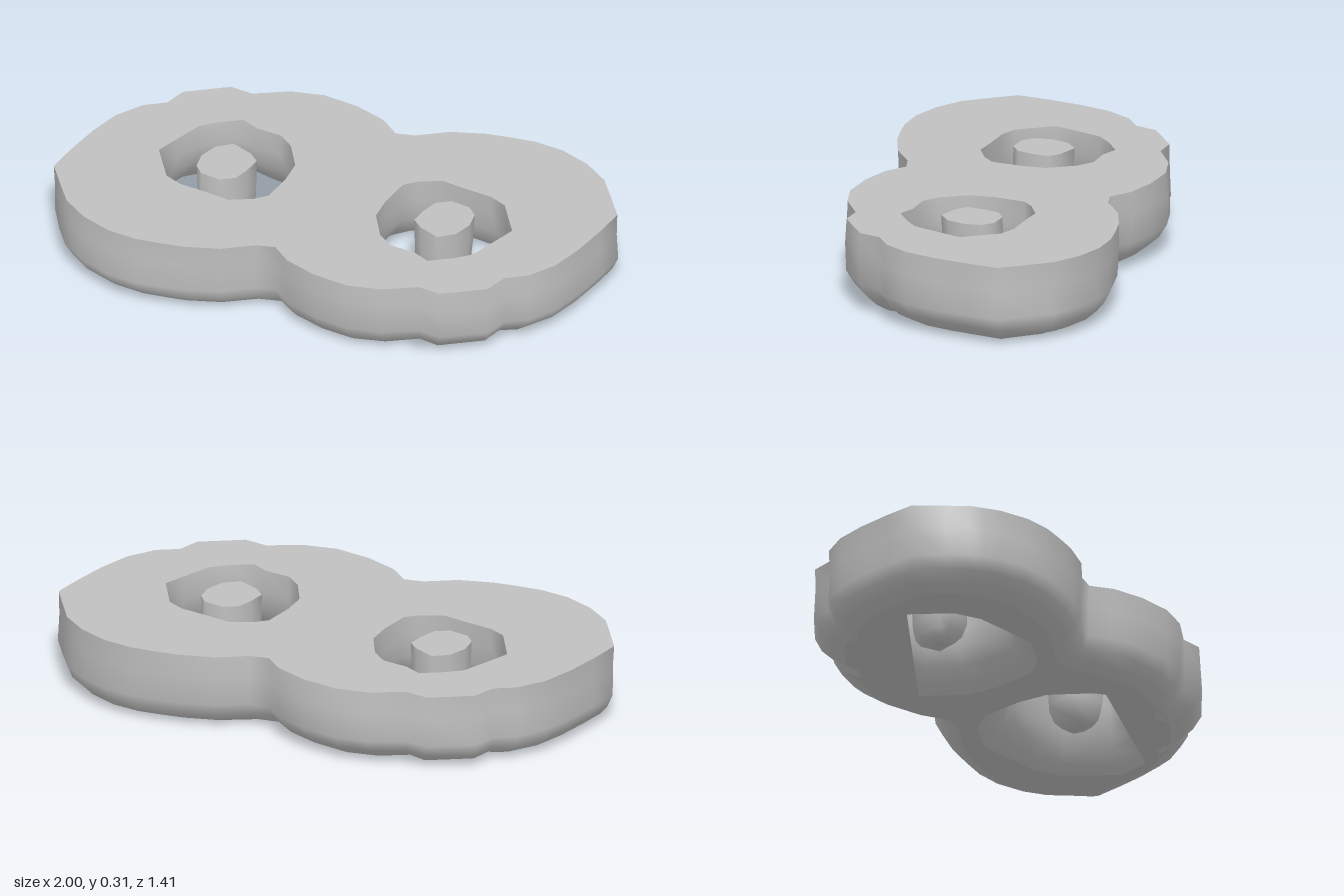
import * as THREE from 'three';

const HEIGHT = 0.31;

// Plan contours as [x, z]; the other half of the model is a half-turn copy
const HALF_OUTLINE = [
  [-1, -0.33], [-0.92, -0.42], [-0.82, -0.52], [-0.72, -0.6], [-0.61, -0.645], [-0.52, -0.645],
  [-0.45, -0.7], [-0.27, -0.7], [-0.2, -0.645], [-0.06, -0.635], [0.06, -0.59], [0.17, -0.5],
  [0.25, -0.4], [0.28, -0.31], [0.35, -0.285], [0.48, -0.285], [0.61, -0.25], [0.7, -0.21],
  [0.78, -0.17], [0.87, -0.1], [0.945, 0], [0.97, 0.06], [0.99, 0.11], [0.995, 0.2],
];
const HOLE = [
  [-0.6, -0.36], [-0.53, -0.41], [-0.43, -0.48], [-0.36, -0.49], [-0.26, -0.49], [-0.22, -0.43],
  [-0.14, -0.37], [-0.115, -0.3], [-0.12, -0.18], [-0.17, -0.1], [-0.25, -0.01], [-0.31, 0],
  [-0.4, -0.01], [-0.47, -0.07], [-0.56, -0.14], [-0.6, -0.2],
];
const POST = [
  [-0.48, -0.24], [-0.45, -0.3], [-0.39, -0.345], [-0.32, -0.35], [-0.27, -0.28],
  [-0.255, -0.23], [-0.3, -0.18], [-0.35, -0.14], [-0.41, -0.14], [-0.47, -0.19],
];

// Section profiles as [height, inset into the solid]
const OUTER_PROFILE = [[HEIGHT, 0], [0.22, 0], [0.11, 0], [0.06, 0.025], [0.025, 0.06], [0, 0.11]];
const HOLE_PROFILE = [[HEIGHT, 0], [0.22, 0], [0.14, 0.015], [0.08, 0.045], [0.03, 0.085], [0, 0.12]];
const POST_PROFILE = [[HEIGHT, 0], [0.2, 0], [0.12, 0.008], [0.07, 0.025], [0.04, 0.05], [0.03, 0.075]];

const halfTurn = (pts) => pts.map(([x, z]) => [-x, -z]);

// Small repeatable unevenness for the worn walls
const wobble = (i, r) => 0.006 * Math.sin(i * 12.9 + r * 7.3);

// Shrink a contour along its smoothed normals
function inset(pts, amount, span) {
  const n = pts.length;
  return pts.map(([x, z], i) => {
    const a = pts[(i - span + n) % n], b = pts[(i + span) % n];
    const dx = b[0] - a[0], dz = b[1] - a[1], len = Math.hypot(dx, dz);
    const d = typeof amount === 'function' ? amount(i) : amount;
    return [x - (dz / len) * d, z + (dx / len) * d];
  });
}

// Wall swept down a profile, returning its geometry and lowest contour
function wall(pts, profile, span) {
  const n = pts.length, last = profile.length - 1;
  const positions = [], index = [];
  let bottom = pts;
  profile.forEach(([y, d], r) => {
    const uneven = r > 0 && r < last;
    bottom = inset(pts, (i) => d + (uneven ? wobble(i, r) : 0), span);
    bottom.forEach(([x, z]) => positions.push(x, y, z));
    if (r === last) return;
    for (let i = 0; i < n; i++) {
      const a = r * n + i, b = r * n + (i + 1) % n;
      index.push(a, b, a + n, b, b + n, a + n);
    }
  });
  const geometry = new THREE.BufferGeometry();
  geometry.setAttribute('position', new THREE.Float32BufferAttribute(positions, 3));
  geometry.setIndex(index);
  geometry.computeVertexNormals();
  return { geometry, bottom };
}

// Flat horizontal face with optional holes, facing up (1) or down (-1)
function cap(pts, holes, y, facing) {
  const to2D = (list) => list.map(([x, z]) => new THREE.Vector2(x, -facing * z));
  const shape = new THREE.Shape(to2D(pts));
  holes.forEach((h) => shape.holes.push(new THREE.Path(to2D(h))));
  return new THREE.ShapeGeometry(shape).rotateX(-facing * Math.PI / 2).translate(0, y, 0);
}

export function createModel() {
  const model = new THREE.Group();
  const grey = new THREE.MeshStandardMaterial({ color: 0xc0c0c0 });
  grey.name = 'stone grey';

  const add = (parent, name, geometry) => {
    const mesh = new THREE.Mesh(geometry, grey);
    mesh.name = name;
    parent.add(mesh);
  };

  // Two-lobed slab with a flared opening in each lobe
  const slab = new THREE.Group();
  slab.name = 'slab';
  const outline = [...HALF_OUTLINE, ...halfTurn(HALF_OUTLINE)];
  const holes = [HOLE, halfTurn(HOLE)].map((h) => [...h].reverse());
  const outer = wall(outline, OUTER_PROFILE, 2);
  const inner = holes.map((h) => wall(h, HOLE_PROFILE, 2));
  add(slab, 'outerWall', outer.geometry);
  inner.forEach((w, i) => add(slab, i ? 'leftOpeningWall' : 'rightOpeningWall', w.geometry));
  add(slab, 'topFace', cap(outline, holes, HEIGHT, 1));
  add(slab, 'bottomFace', cap(outer.bottom, inner.map((w) => w.bottom), 0, -1));
  model.add(slab);

  // Rounded free-standing post in the middle of each opening
  [POST, halfTurn(POST)].forEach((contour, i) => {
    const post = new THREE.Group();
    post.name = i ? 'leftPost' : 'rightPost';
    const side = wall(contour, POST_PROFILE, 1);
    add(post, 'postWall', side.geometry);
    add(post, 'postTop', cap(contour, [], HEIGHT, 1));
    add(post, 'postTip', cap(side.bottom, [], 0.03, -1));
    model.add(post);
  });

  return model;
}
